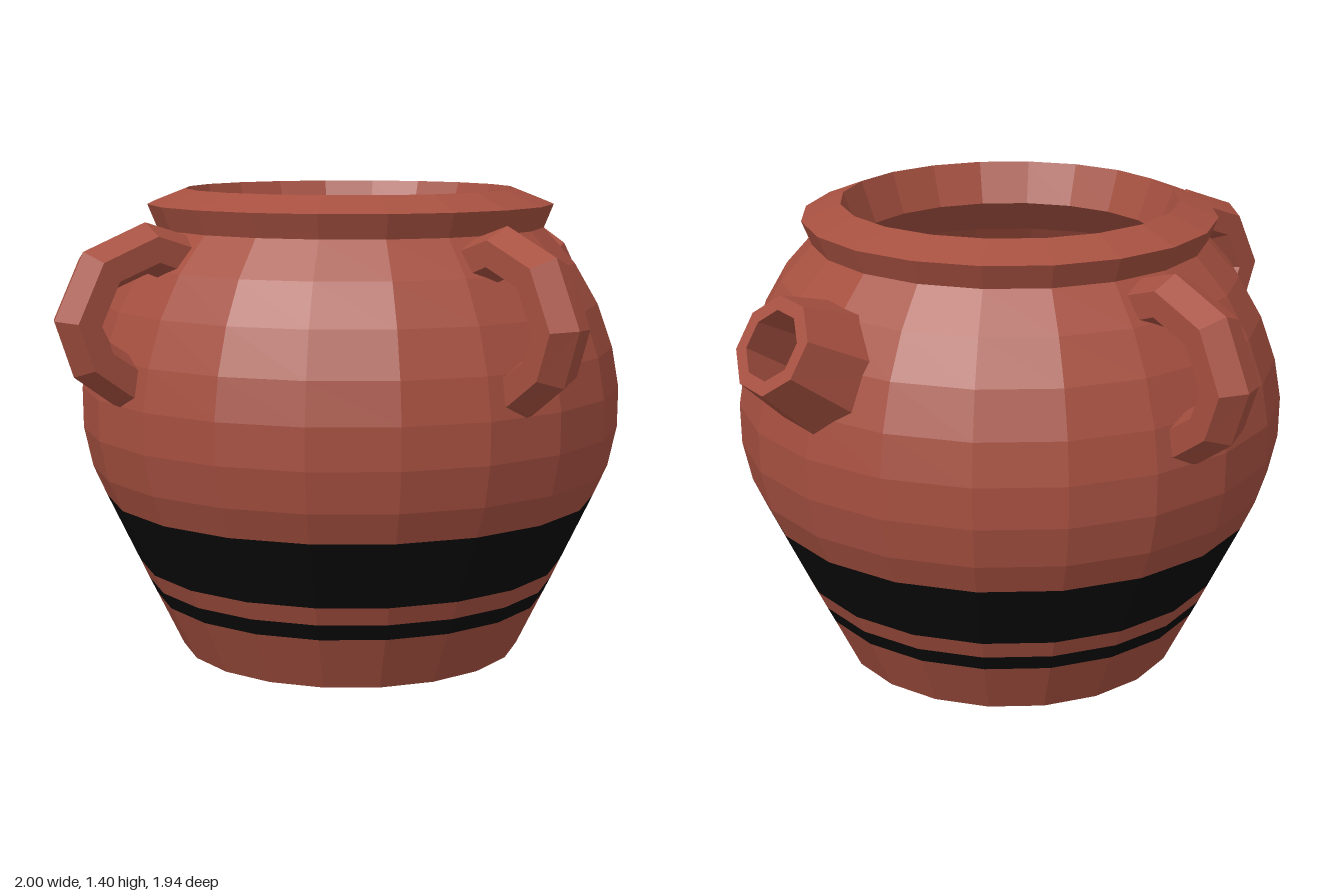
import * as THREE from 'three';

const SIDES = 20;
const CENTRE_Z = -0.03;

const clay = new THREE.MeshStandardMaterial({ color: 0xa65040, flatShading: true });
clay.name = 'terracotta';
const black = new THREE.MeshStandardMaterial({ color: 0x0a0a0a, flatShading: true });
black.name = 'black glaze';

// Faceted ring of the pot; radii are measured to the middle of a flat side
function turned(name, points, material, sides = SIDES) {
  const grow = 1 / Math.cos(Math.PI / sides);
  const profile = points.map(([r, y]) => new THREE.Vector2(r * grow, y));
  const mesh = new THREE.Mesh(new THREE.LatheGeometry(profile, sides, Math.PI / sides), material);
  mesh.name = name;
  return mesh;
}

// Six-sided section, ridged on the outside, swept along a path in the xy plane
function handleGeometry() {
  const path = [[0.58, 1.205], [0.71, 1.25], [0.86, 1.195], [0.93, 1.055],
    [0.89, 0.95], [0.79, 0.88], [0.7, 0.84]].map(([x, y]) => new THREE.Vector2(x, y));
  const section = [[0.072, 0], [0.036, 0.0725], [-0.036, 0.0725],
    [-0.072, 0], [-0.036, -0.0725], [0.036, -0.0725]];
  const positions = [];
  const index = [];
  path.forEach((p, i) => {
    const before = path[Math.max(i - 1, 0)];
    const after = path[Math.min(i + 1, path.length - 1)];
    const t = after.clone().sub(before).normalize();
    for (const [u, w] of section) positions.push(p.x - t.y * u, p.y + t.x * u, w);
  });
  const n = section.length;
  for (let i = 0; i < path.length - 1; i++) {
    for (let j = 0; j < n; j++) {
      const a = i * n + j;
      const b = i * n + (j + 1) % n;
      index.push(a, b, b + n, a, b + n, a + n);
    }
  }
  const geometry = new THREE.BufferGeometry();
  geometry.setAttribute('position', new THREE.Float32BufferAttribute(positions, 3));
  geometry.setIndex(index);
  geometry.computeVertexNormals();
  return geometry;
}

export function createModel() {
  const model = new THREE.Group();
  model.name = 'pot';

  // Body, from the underside up the outside
  const body = new THREE.Group();
  body.name = 'body';
  const base = [0.515, 0], low1 = [0.593, 0.165], low2 = [0.617, 0.215];
  const high1 = [0.643, 0.272], high2 = [0.738, 0.478];
  body.add(
    turned('foot', [[0, 0], base, low1], clay),
    turned('narrowBand', [low1, low2], black),
    turned('bandGap', [low2, high1], clay),
    turned('wideBand', [high1, high2], black),
    turned('shoulder', [high2, [0.778, 0.57], [0.803, 0.69], [0.804, 0.81], [0.783, 0.93],
      [0.737, 1.06], [0.668, 1.18], [0.575, 1.285]], clay),
    turned('rim', [[0.575, 1.285], [0.603, 1.355], [0.49, 1.4], [0.445, 1.275]], clay),
    turned('inside', [[0.445, 1.275], [0.57, 1.16], [0.65, 1.03], [0.7, 0.9], [0.72, 0.75],
      [0.69, 0.57], [0.45, 0.07], [0, 0.07]], clay),
  );
  model.add(body);

  // Handles on the left, front and right
  const loop = handleGeometry();
  ['leftHandle', 'frontHandle', 'rightHandle'].forEach((name, i) => {
    const handle = new THREE.Mesh(loop, clay);
    handle.name = name;
    handle.rotation.y = -i * Math.PI / 2;
    model.add(handle);
  });

  // Tapered hollow spout at the back, reaching through the wall
  const spout = turned('spout', [[0.13, -0.37], [0.215, -0.37], [0.13, 0], [0.092, 0], [0.13, -0.37]], clay, 8);
  const direction = new THREE.Vector3(-0.08, 0.5, -0.866).normalize();
  spout.quaternion.setFromUnitVectors(new THREE.Vector3(0, 1, 0), direction);
  spout.position.set(-0.093, 1.14, -0.905 - CENTRE_Z);
  model.add(spout);

  for (const part of model.children) part.position.z += CENTRE_Z;
  return model;
}
